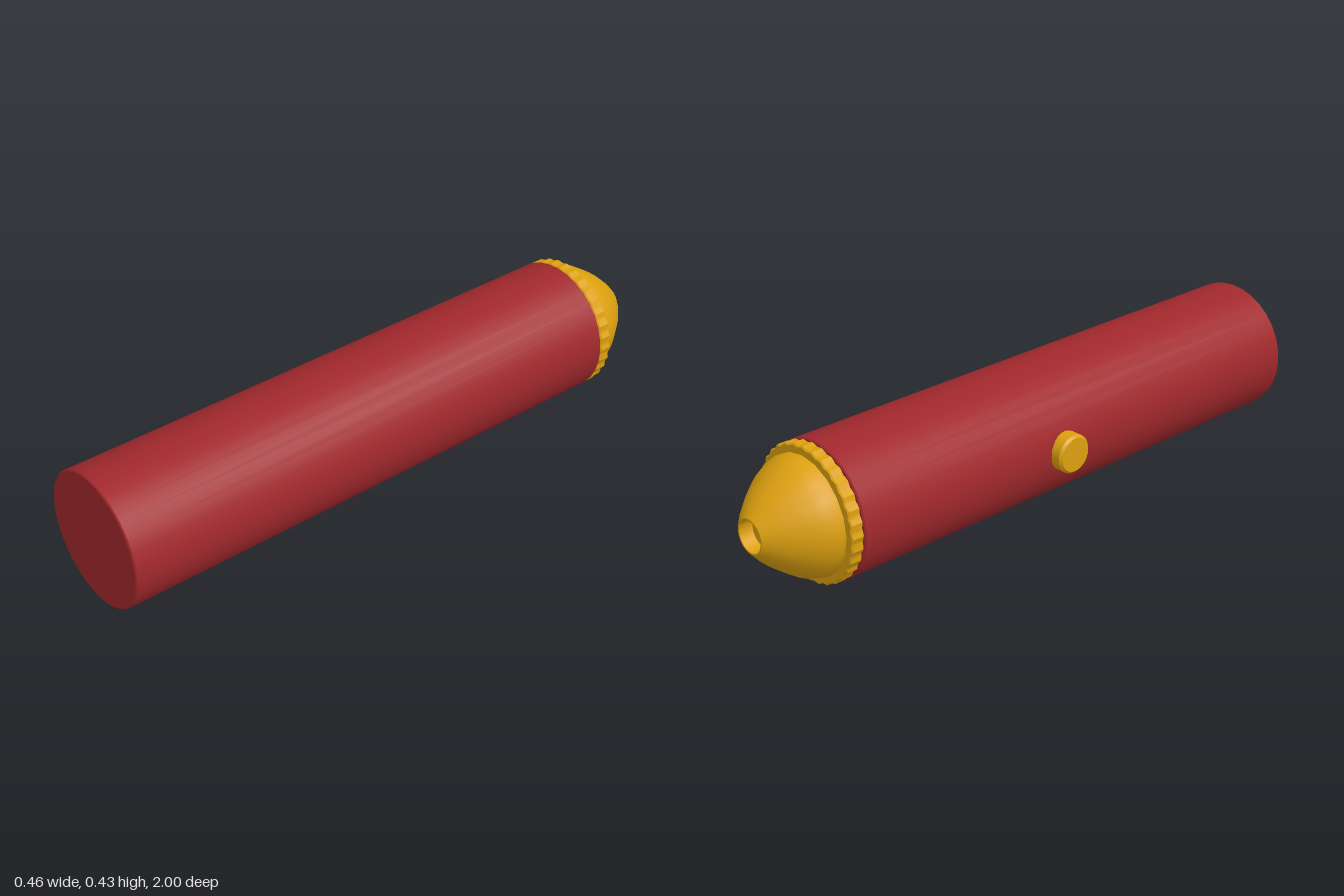
import * as THREE from 'three';
import { toCreasedNormals } from 'three/addons/utils/BufferGeometryUtils.js';

const CX = 0.0175, CY = 0.215;
const red = new THREE.MeshStandardMaterial({ color: 0xa0282c });
const gold = new THREE.MeshStandardMaterial({ color: 0xdca010 });

// Lathe from [radius, height] points, smooth except at sharp edges
function turned(name, points, sides, material) {
  const profile = points.map(([r, h]) => new THREE.Vector2(r, h));
  const geometry = toCreasedNormals(new THREE.LatheGeometry(profile, sides), 0.6);
  const mesh = new THREE.Mesh(geometry, material);
  mesh.name = name;
  return mesh;
}

export function createModel() {
  const group = new THREE.Group();

  // Everything on the main axis points its +y toward the back (-z)
  const axis = new THREE.Group();
  axis.name = 'barrel';
  axis.position.set(CX, CY, 0);
  axis.rotation.x = -Math.PI / 2;
  group.add(axis);

  // Long closed tube with a fine chamfer at each end
  axis.add(turned('body', [
    [0, -1], [0.208, -1], [0.2125, -0.996], [0.2125, 0.762], [0.208, 0.766], [0, 0.766],
  ], 32, red));

  // Knurled collar behind the tube
  const teeth = 32, rim = new THREE.Shape();
  for (let i = 0; i < teeth * 4; i++) {
    const a = (i / (teeth * 4)) * Math.PI * 2;
    const r = 0.2045 + 0.003 * Math.cos(a * teeth);
    if (i === 0) rim.moveTo(r, 0);
    else rim.lineTo(r * Math.cos(a), r * Math.sin(a));
  }
  rim.closePath();
  const collarGeometry = new THREE.ExtrudeGeometry(rim, {
    depth: 0.034, bevelEnabled: true, bevelThickness: 0.004, bevelSize: 0.004, bevelSegments: 1,
  });
  collarGeometry.rotateX(-Math.PI / 2);
  const collar = new THREE.Mesh(toCreasedNormals(collarGeometry, 0.6), gold);
  collar.name = 'collar';
  collar.position.y = 0.772;
  axis.add(collar);

  // Short neck joining tube and collar
  axis.add(turned('neck', [[0.195, 0.76], [0.195, 0.775]], 32, gold));

  // Domed nose with a shallow bore at its tip
  axis.add(turned('nose', [
    [0.184, 0.805], [0.184, 0.825], [0.177, 0.85], [0.163, 0.878], [0.142, 0.908],
    [0.117, 0.94], [0.088, 0.971], [0.055, 1], [0.05, 1], [0.05, 0.955], [0, 0.955],
  ], 20, gold));

  // Round push button on the right side
  const button = turned('button', [
    [0, 0], [0.0615, 0], [0.0615, 0.055], [0.054, 0.063], [0, 0.063],
  ], 24, gold);
  button.position.set(-0.17, CY, 0.006);
  button.rotation.z = Math.PI / 2;
  group.add(button);

  return group;
}
